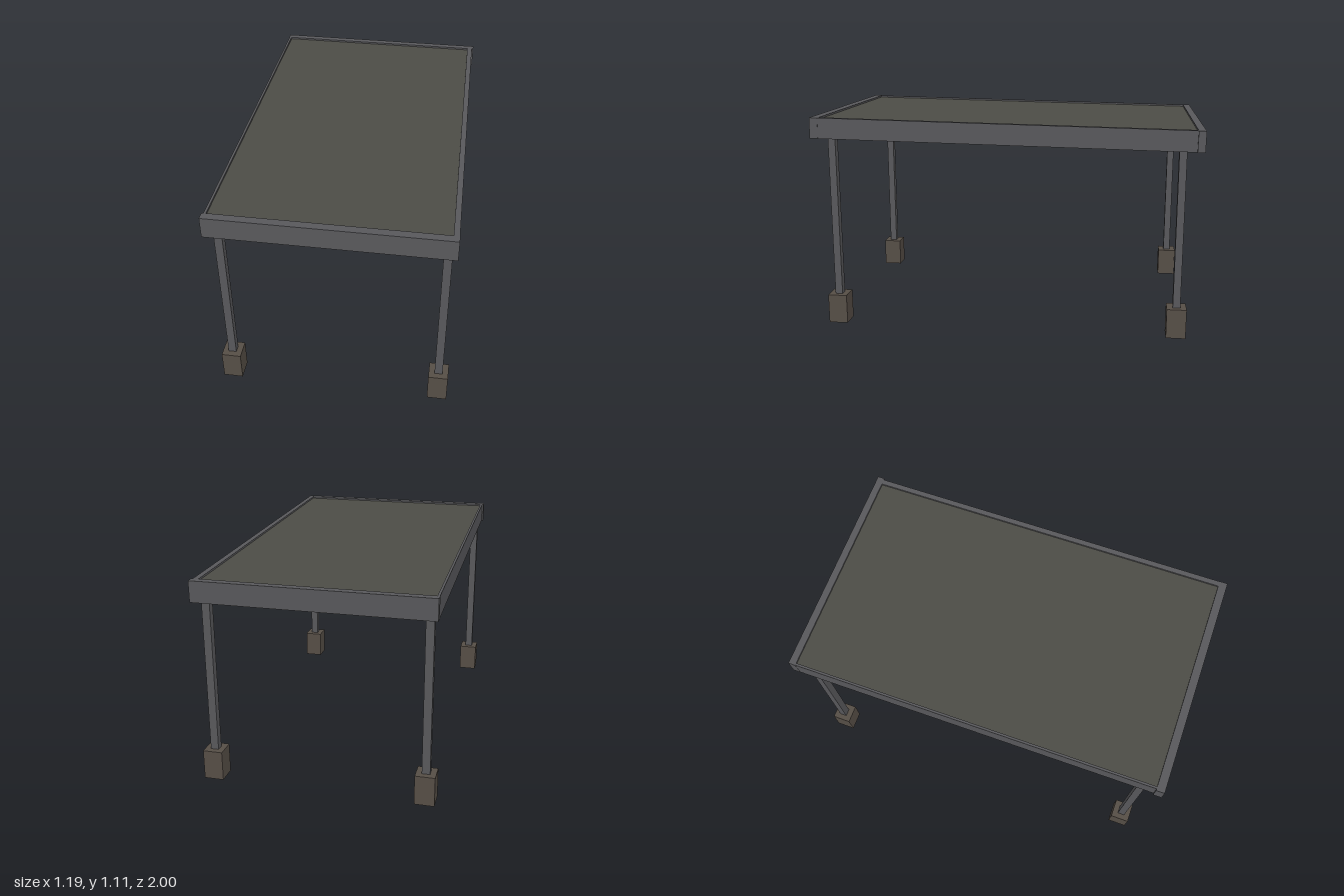
import * as THREE from 'three';

const steel = new THREE.MeshStandardMaterial({ color: 0x58585b, flatShading: true });
const sheet = new THREE.MeshStandardMaterial({ color: 0x4c4c46, flatShading: true });
const concrete = new THREE.MeshStandardMaterial({ color: 0x564e46, flatShading: true });

function box(name, material, size, position, parent) {
  const mesh = new THREE.Mesh(new THREE.BoxGeometry(...size), material);
  mesh.name = name;
  mesh.position.set(...position);
  parent.add(mesh);
  return mesh;
}

export function createModel() {
  const model = new THREE.Group();
  model.name = 'carport';

  // Square posts on concrete footings
  for (const x of [-0.543, 0.543]) {
    for (const z of [-0.893, 0.893]) {
      const height = z > 0 ? 1.06 : 1.03;
      box('post', steel, [0.041, height, 0.038], [x, height / 2, z], model);
      box('footing', concrete, [0.1, 0.154, 0.1], [x, 0.081, z], model);
    }
  }

  // Roof, sloping gently down towards the back
  const roof = new THREE.Group();
  roof.name = 'roof';
  roof.position.y = 1.036;
  roof.rotation.x = -0.0175;
  model.add(roof);

  // Edge beams; the two side beams stand slightly out of square
  const depth = 0.107;
  box('frontBeam', steel, [1.178, depth, 0.043], [0, 0, 0.977], roof);
  box('backBeam', steel, [1.174, depth, 0.038], [-0.004, 0, -0.979], roof);
  box('leftBeam', steel, [0.028, depth, 1.925], [0.567, 0, 0], roof).rotation.y = 0.007;
  box('rightBeam', steel, [0.012, depth, 1.925], [-0.579, 0, 0], roof).rotation.y = 0.005;

  // Roof sheet, set just below the beam tops
  box('roofPanel', sheet, [1.14, 0.014, 1.925], [-0.006, 0.037, 0], roof);
  return model;
}
